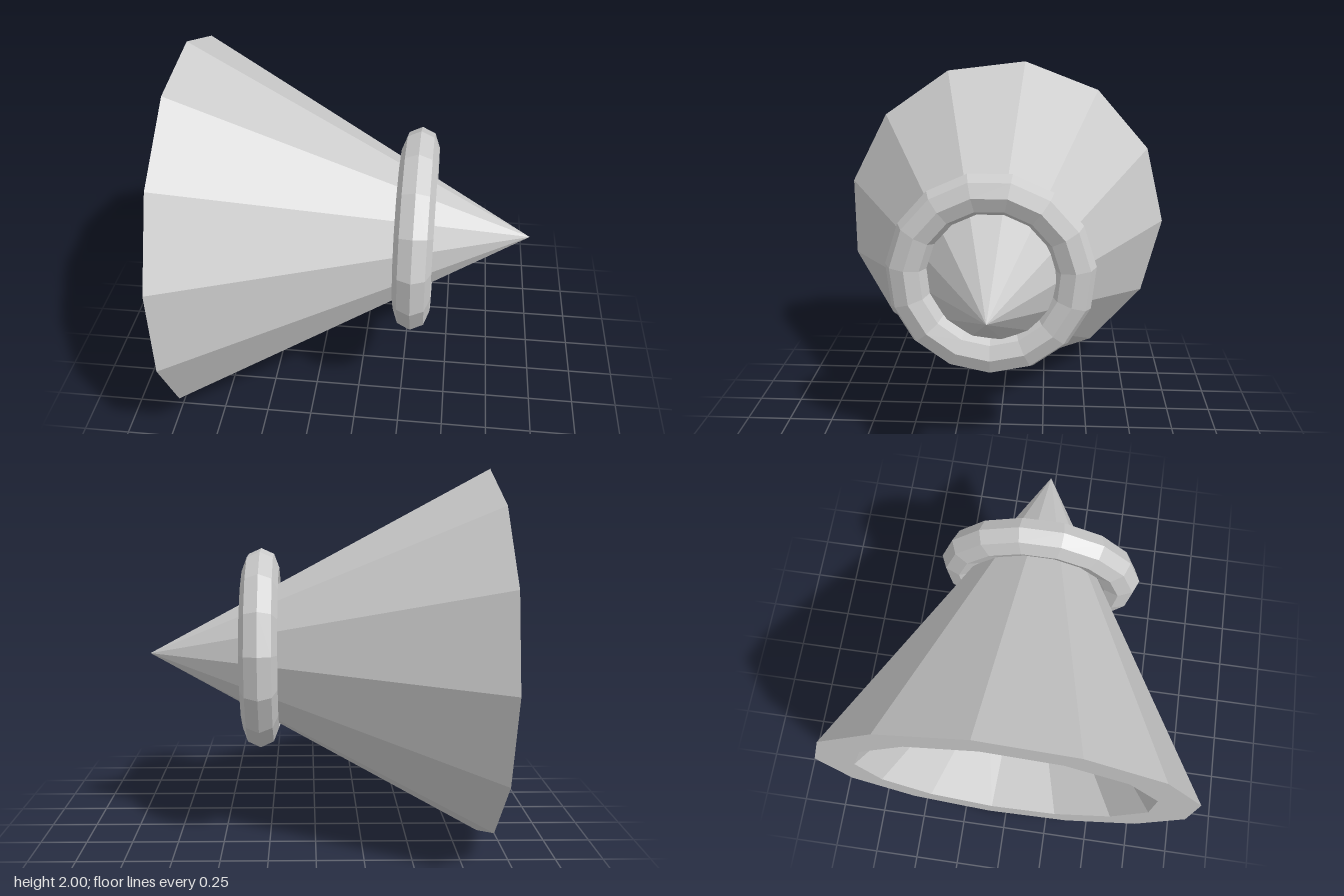
import * as THREE from 'three';

const material = new THREE.MeshStandardMaterial({ color: 0xcccccc, flatShading: true });

function addPart(group, name, geometry, x, y, z) {
  const mesh = new THREE.Mesh(geometry, material);
  mesh.name = name;
  mesh.position.set(x, y, z);
  group.add(mesh);
}

export function createModel() {
  const model = new THREE.Group();
  model.name = 'ringedCone';

  // 13-sided cone pointing to +x: recess floor, recess wall, rim, outer wall
  const radius = 1.007, halfLength = 0.91;
  const profile = [
    [0, -0.33],
    [0.33, -0.33],
    [0.795, -halfLength],
    [radius, -halfLength],
    [0, halfLength],
  ].map(([r, h]) => new THREE.Vector2(r, h));
  const cone = new THREE.LatheGeometry(profile, 13, Math.PI);
  cone.rotateZ(-Math.PI / 2);
  addPart(model, 'recessedCone', cone, 0, 1, 0.015);

  // Loose 15-sided ring around the cone, slightly flattened along x
  const ring = new THREE.TorusGeometry(0.445, 0.109, 8, 15);
  ring.rotateZ(-Math.PI / 2).rotateY(Math.PI / 2).scale(0.91, 1, 1);
  addPart(model, 'ring', ring, 0.296, 1.025, 0.035);

  return model;
}
